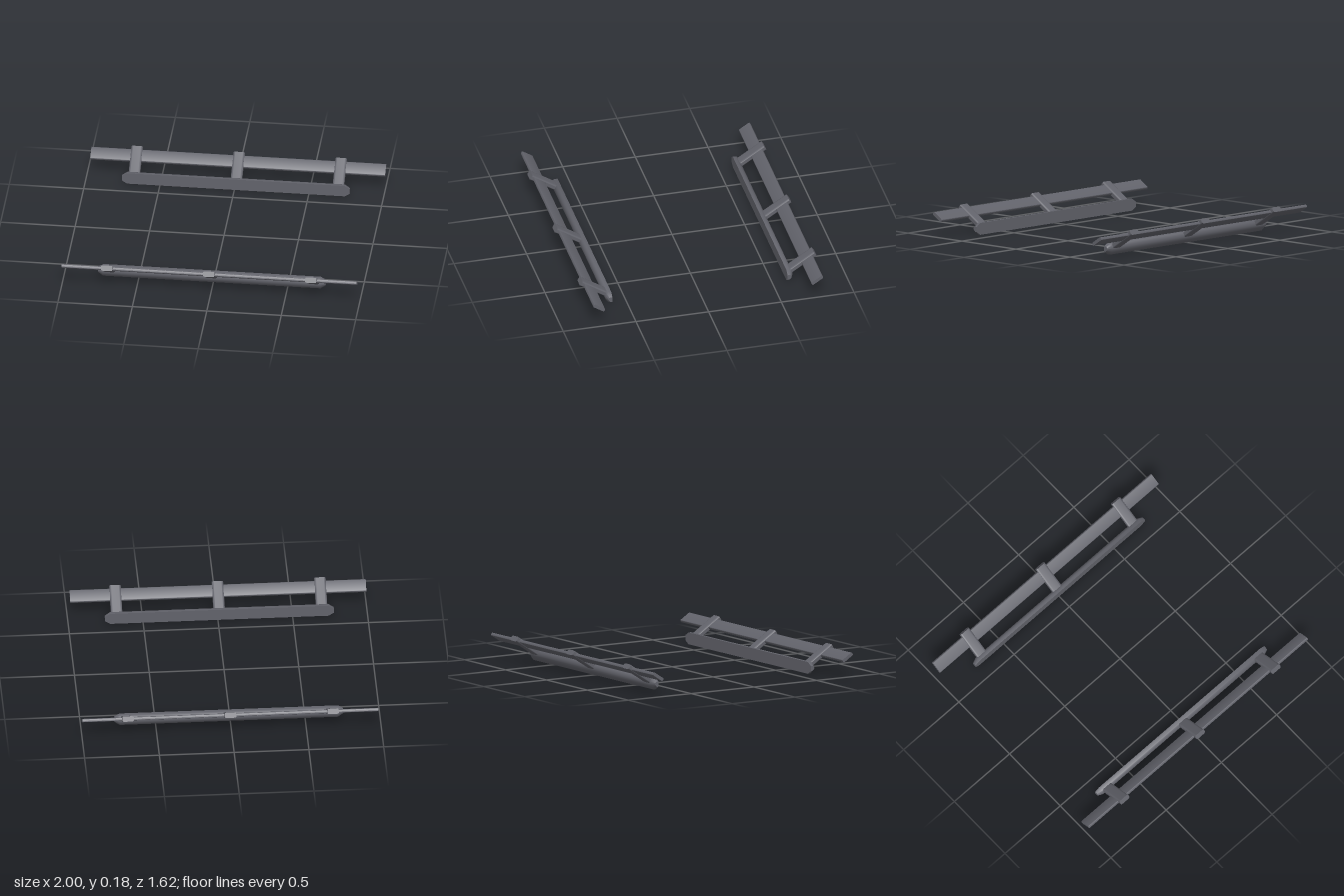
import * as THREE from 'three';
import { toCreasedNormals } from 'three/addons/utils/BufferGeometryUtils.js';

const steel = new THREE.MeshStandardMaterial({ color: 0x62636b });
steel.name = 'dark grey steel';

function roundedRect(w, h, r) {
  const s = new THREE.Shape(), x = w / 2, y = h / 2;
  s.moveTo(-x + r, -y);
  s.lineTo(x - r, -y).quadraticCurveTo(x, -y, x, -y + r);
  s.lineTo(x, y - r).quadraticCurveTo(x, y, x - r, y);
  s.lineTo(-x + r, y).quadraticCurveTo(-x, y, -x, y - r);
  s.lineTo(-x, -y + r).quadraticCurveTo(-x, -y, -x + r, -y);
  return s;
}

function extrude(shape, depth, steps = 1) {
  return new THREE.ExtrudeGeometry(shape, { depth, steps, bevelEnabled: false, curveSegments: 5 });
}

function addMesh(parent, geometry, name) {
  const mesh = new THREE.Mesh(toCreasedNormals(geometry, 0.7), steel);
  mesh.name = name;
  parent.add(mesh);
  return mesh;
}

// Long mounting rail: flat inner face, rounded outer face, tapered ends
function railGeometry() {
  const half = 0.765, taper = 0.035;
  const s = new THREE.Shape();
  s.moveTo(0, 0);
  s.lineTo(0, 0.08);
  s.lineTo(-0.02, 0.08);
  s.bezierCurveTo(-0.034, 0.076, -0.043, 0.062, -0.043, 0.044);
  s.bezierCurveTo(-0.043, 0.03, -0.03, 0.01, -0.018, 0);
  s.lineTo(0, 0);
  const g = extrude(s, 3, 3).translate(0, 0, -1.5).rotateY(Math.PI / 2);
  const p = g.attributes.position;
  for (let i = 0; i < p.count; i++) {
    const x = p.getX(i), side = Math.sign(x);
    if (Math.abs(x) > 1) {
      p.setXYZ(i, side * half, 0.04 + (p.getY(i) - 0.04) * 0.45, p.getZ(i) * 0.65);
    } else {
      p.setX(i, side * (half - taper));
    }
  }
  return g;
}

function sideStep(name) {
  const step = new THREE.Group();
  step.name = name;
  addMesh(step, railGeometry(), 'mountingRail').position.set(-0.01, 0, 0.6);

  // Step bar and its brackets share one slope
  const slope = new THREE.Group();
  slope.name = 'slopedStep';
  slope.position.set(-0.01, 0.1325, 0.7475);
  slope.rotation.x = -0.57;
  step.add(slope);

  const bar = extrude(roundedRect(0.09, 0.022, 0.009), 1.98).translate(0, 0, -0.99).rotateY(Math.PI / 2);
  addMesh(slope, bar, 'stepBar');

  for (const x of [-0.685, 0, 0.685]) {
    const bracket = extrude(roundedRect(0.078, 0.036, 0.014), 0.203).translate(x, 0, -0.138);
    addMesh(slope, bracket, 'bracket');
  }
  return step;
}

export function createModel() {
  const model = new THREE.Group();
  model.name = 'sideSteps';
  const front = sideStep('frontStep');
  const back = sideStep('backStep');
  back.rotation.y = Math.PI;
  model.add(front, back);
  return model;
}
